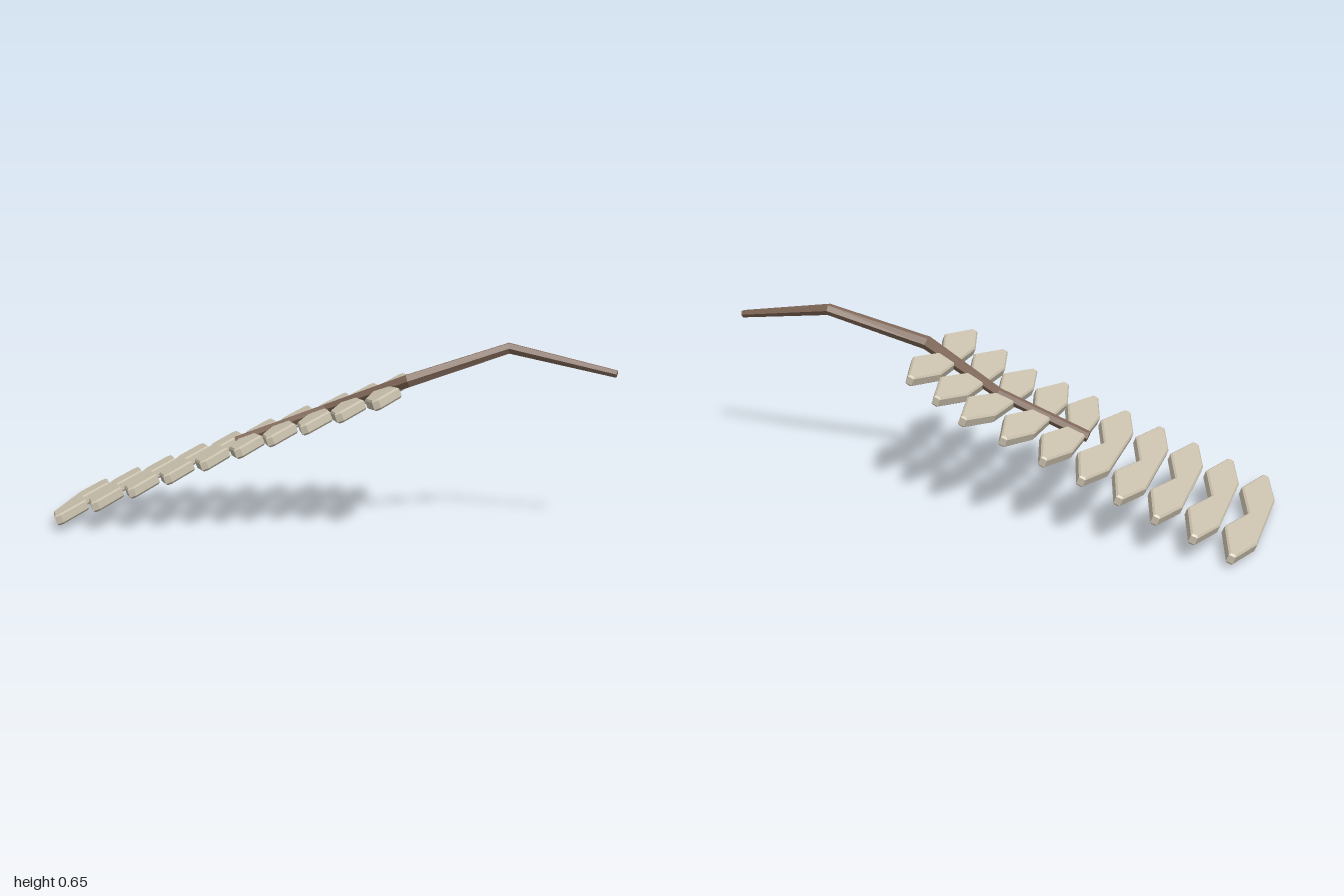
import * as THREE from 'three';

const plateMaterial = new THREE.MeshStandardMaterial({ color: 0xcbc2ae });
plateMaterial.name = 'bone';
const stemMaterial = new THREE.MeshStandardMaterial({ color: 0x806858 });
stemMaterial.name = 'brown';

// Bevelled plate: straight on one long side, notched on the other, tapering to both tips
function plateGeometry(halfWidth) {
  const h = halfWidth;
  const side = [[0.062, 0.49], [0.012, 1], [-0.012, 1], [-0.062, 0.54]];
  const outline = [[0.007, 0], ...side];
  for (const [x, z] of [...side].reverse()) outline.push([x, -z]);
  const shape = new THREE.Shape(outline.map(([x, z]) => new THREE.Vector2(x, z * h)));
  const bevel = 0.006, thickness = 0.038;
  const g = new THREE.ExtrudeGeometry(shape, {
    depth: thickness - 2 * bevel, bevelEnabled: true, bevelSegments: 1,
    bevelThickness: bevel, bevelSize: bevel, bevelOffset: -bevel,
  });
  g.translate(0, 0, bevel - thickness / 2);
  g.rotateX(Math.PI / 2);
  return g;
}

// Six-sided tube with sharp bends; each point is [x, y, z, radius]
function stemGeometry(points) {
  const path = points.map(([x, y, z]) => new THREE.Vector3(x, y, z));
  const last = path.length - 1;
  const frames = path.map((p, i) => {
    const t = new THREE.Vector3();
    if (i > 0) t.add(p.clone().sub(path[i - 1]).normalize());
    if (i < last) t.add(path[i + 1].clone().sub(p).normalize());
    t.normalize();
    const n1 = new THREE.Vector3().crossVectors(t, new THREE.Vector3(0, 0, 1)).normalize();
    return { n1, n2: new THREE.Vector3().crossVectors(n1, t) };
  });
  const g = new THREE.CylinderGeometry(1, 1, 1, 6, last);
  const pos = g.attributes.position;
  for (let k = 0; k < pos.count; k++) {
    const i = Math.round((pos.getY(k) + 0.5) * last);
    const r = points[i][3];
    const v = path[i].clone()
      .addScaledVector(frames[i].n1, pos.getX(k) * r)
      .addScaledVector(frames[i].n2, pos.getZ(k) * r);
    pos.setXYZ(k, v.x, v.y, v.z);
  }
  const flat = g.toNonIndexed();
  flat.computeVertexNormals();
  return flat;
}

export function createModel() {
  const model = new THREE.Group();
  model.name = 'platedStem';

  // Plates climbing along the spine: [x, y, z, yaw]
  const plates = [
    [-0.922, 0.043, 0.02, 0.087], [-0.794, 0.092, 0.008, 0.087],
    [-0.665, 0.142, -0.003, 0.087], [-0.539, 0.192, -0.014, 0.084],
    [-0.411, 0.242, -0.025, 0.08], [-0.285, 0.29, -0.036, 0.055],
    [-0.16, 0.338, -0.046, 0.0], [-0.03, 0.385, -0.058, -0.05],
    [0.09, 0.432, -0.027, -0.025], [0.214, 0.48, 0.007, 0.008],
  ];
  plates.forEach(([x, y, z, yaw], i) => {
    const plate = new THREE.Mesh(plateGeometry(0.341 - i * 0.0055), plateMaterial);
    plate.name = 'plate' + (i + 1);
    plate.position.set(x, y, z);
    plate.rotation.set(0.03, yaw, 0.36, 'ZXY');
    model.add(plate);
  });

  // Bent stem running through the upper plates
  const stem = new THREE.Mesh(stemGeometry([
    [-0.355, 0.275, -0.035, 0.02], [-0.03, 0.4, -0.063, 0.019],
    [0.28, 0.52, 0.017, 0.025], [0.62, 0.632, -0.078, 0.021],
    [0.997, 0.556, -0.036, 0.014],
  ]), stemMaterial);
  stem.name = 'stem';
  model.add(stem);

  return model;
}
